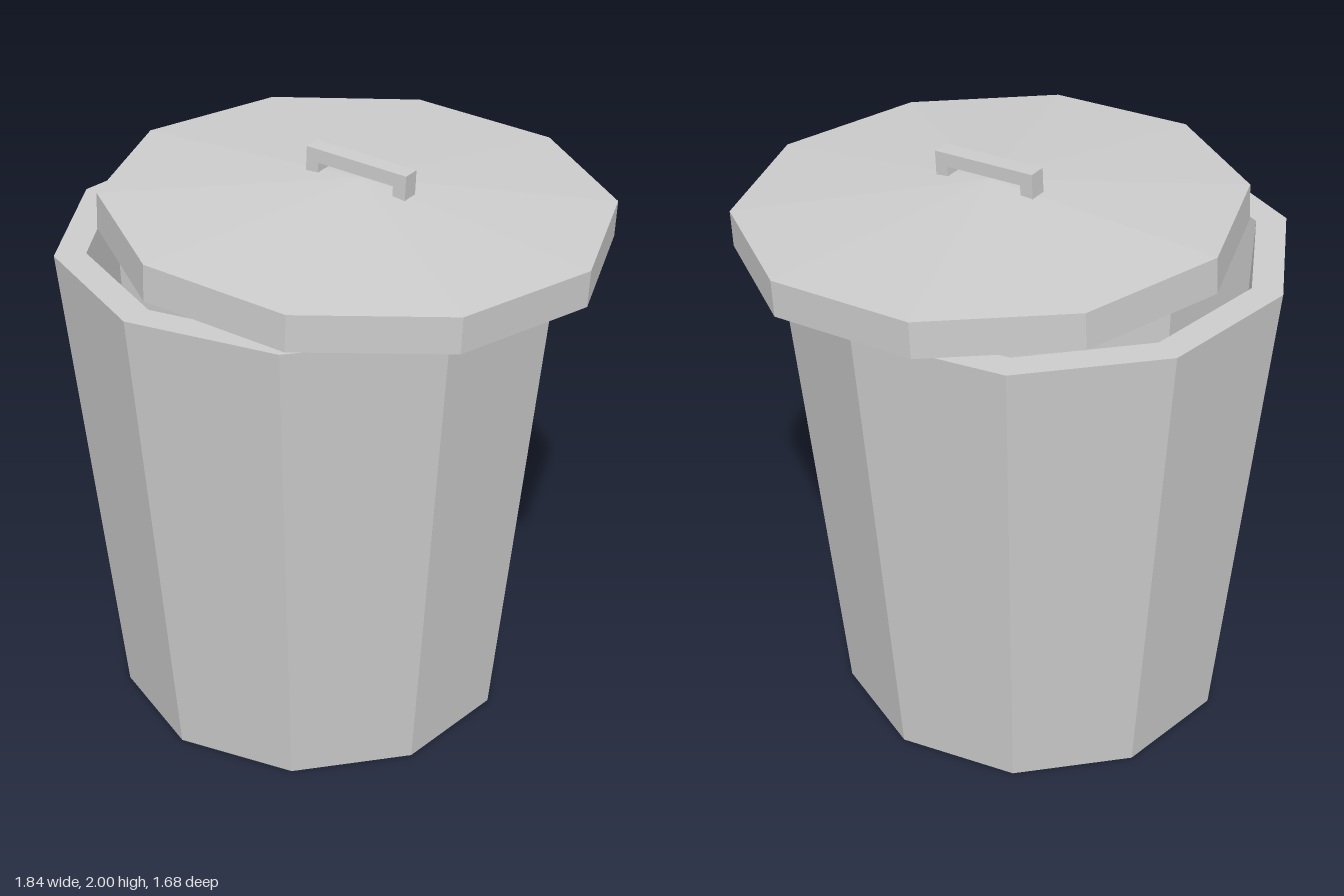
import * as THREE from 'three';

const SIDES = 10;
const grey = new THREE.MeshStandardMaterial({ color: 0xcccccc, flatShading: true });

// Ten-sided solid of revolution with a corner on the x axis
function facetedLathe(name, profile) {
  const points = profile.map(([r, y]) => new THREE.Vector2(r, y));
  const mesh = new THREE.Mesh(new THREE.LatheGeometry(points, SIDES, Math.PI / 2), grey);
  mesh.name = name;
  return mesh;
}

export function createModel() {
  const model = new THREE.Group();
  model.name = 'trashCan';

  // Tapered bin: underside, outer wall, thick rim, inner wall, floor
  const bin = facetedLathe('bin', [
    [0, 0], [0.68, 0], [0.85, 1.71], [0.745, 1.71], [0.675, 0.02], [0, 0.02],
  ]);
  bin.position.set(-0.075, 0, 0.03);
  model.add(bin);

  // Lid sits off-centre, tilted and turned; its origin is the centre of the upper edge
  const lid = new THREE.Group();
  lid.name = 'lid';
  lid.position.set(0.08, 1.8525, -0.005);
  lid.rotation.set(0, THREE.MathUtils.degToRad(-9.2), THREE.MathUtils.degToRad(-2.55), 'ZYX');
  lid.add(facetedLathe('lidCover', [[0, -0.126], [0.851, -0.126], [0.851, 0], [0, 0.07]]));

  // Square-section bracket handle, legs sunk slightly into the cover
  const half = 0.19, thick = 0.047, top = 0.139, foot = 0.045, width = 0.063;
  const bracket = new THREE.Shape([
    [-half, foot], [-half + thick, foot], [-half + thick, top - thick],
    [half - thick, top - thick], [half - thick, foot], [half, foot],
    [half, top], [-half, top],
  ].map(([x, y]) => new THREE.Vector2(x, y)));
  const handleGeometry = new THREE.ExtrudeGeometry(bracket, { depth: width, bevelEnabled: false });
  handleGeometry.translate(0, 0, -width / 2);
  const handle = new THREE.Mesh(handleGeometry, grey);
  handle.name = 'lidHandle';
  lid.add(handle);
  model.add(lid);

  return model;
}
